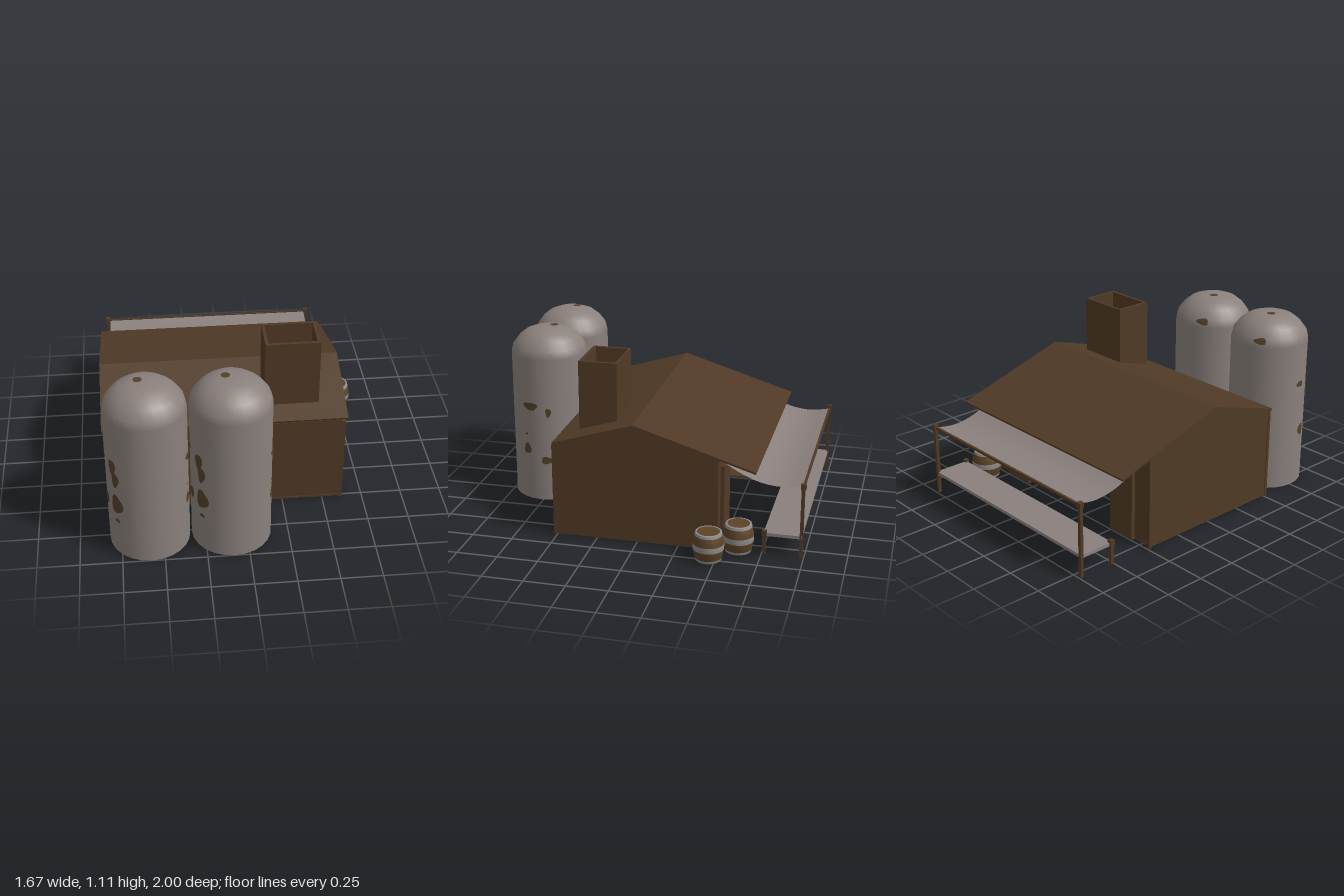
import * as THREE from 'three';

const mat = (name, color) => Object.assign(new THREE.MeshStandardMaterial({ color }), { name });

export function createModel() {
  const root = new THREE.Group();
  root.name = 'brewery';
  const timber = mat('timber brown', 0x503a26);
  const metal = mat('silo grey', 0x8a807c);
  const rust = mat('rust brown', 0x53402a);
  const cloth = mat('cloth grey', 0x8a807e);
  const stave = mat('barrel wood', 0x5c4327);
  const hoop = mat('hoop grey', 0x8f8b8a);
  metal.side = cloth.side = THREE.DoubleSide;

  const add = (parent, name, geo, m) => {
    const mesh = new THREE.Mesh(geo, m);
    mesh.name = name;
    parent.add(mesh);
    return mesh;
  };
  // Box given by its limits on each axis
  const box = (name, x0, x1, y0, y1, z0, z1, m = timber) => {
    const b = add(root, name, new THREE.BoxGeometry(x1 - x0, y1 - y0, z1 - z0), m);
    b.position.set((x0 + x1) / 2, (y0 + y1) / 2, (z0 + z1) / 2);
    return b;
  };
  const poly = pts => new THREE.Shape(pts.map(p => new THREE.Vector2(...p)));
  const rect = (x0, x1, y0, y1) => [[x0, y0], [x1, y0], [x1, y1], [x0, y1]];
  const extrude = (shape, depth) => new THREE.ExtrudeGeometry(shape, { depth, bevelEnabled: false });

  // Gable walls, with the profile running along z
  for (const x of [-0.82, 0.60]) {
    const s = poly([[-0.52, 0.01], [0.48, 0.01], [0.48, 0.59], [-0.02, 0.742], [-0.52, 0.59]]);
    const w = add(root, 'gableWall', extrude(s, 0.02), timber);
    w.rotation.y = Math.PI / 2;
    w.position.x = x;
  }
  box('frontWall', -0.80, 0.60, 0.01, 0.595, 0.50, 0.515);

  // Back wall with a wide doorway and its raised frame
  const doorway = (x0, x1, y1, inner, top) =>
    poly([[x0, 0.01], [-0.10 - inner, 0.01], [-0.10 - inner, top], [-0.10 + inner, top],
      [-0.10 + inner, 0.01], [x1, 0.01], [x1, y1], [x0, y1]]);
  add(root, 'backWall', extrude(doorway(-0.80, 0.60, 0.59, 0.395, 0.40), 0.015), timber).position.z = -0.478;
  add(root, 'doorFrame', extrude(doorway(-0.685, 0.485, 0.49, 0.395, 0.40), 0.025), timber).position.z = -0.502;
  for (const x of [-0.82, 0.61]) for (const z of [-0.485, 0.51])
    box('cornerPost', x - 0.004, x + 0.014, 0.005, 0.59, z - 0.006, z + 0.012);

  // Floor, cut away behind the doorway
  const floor = add(root, 'floor', extrude(poly([[-0.82, -0.52], [0.62, -0.52], [0.62, 0.48], [0.295, 0.48],
    [0.295, -0.18], [-0.495, -0.18], [-0.495, 0.48], [-0.82, 0.48]]), 0.012), timber);
  floor.rotation.x = -Math.PI / 2;
  floor.position.y = 0.01;

  // Roof slopes: slabs hung below a line from (z0, y0) to (z1, y1), z increasing
  const slope = (name, z0, y0, z1, y1, hole) => {
    const dir = new THREE.Vector3(0, y1 - y0, z1 - z0), len = dir.length();
    dir.normalize();
    const s = poly(rect(-0.84, 0.64, 0, len));
    if (hole) {
      const [a, b, c, d] = hole, k = len / (z1 - z0);
      s.holes.push(poly(rect(a, b, (c - z0) * k, (d - z0) * k)));
    }
    const X = new THREE.Vector3(1, 0, 0);
    const g = extrude(s, 0.013);
    g.applyMatrix4(new THREE.Matrix4().makeBasis(X, dir, X.clone().cross(dir)).setPosition(0, y0, z0));
    add(root, name, g, timber);
  };
  slope('frontRoof', 0.022, 0.757, 0.515, 0.607, [0.16, 0.46, 0.165, 0.38]);
  slope('backRoof', -0.715, 0.533, 0.022, 0.76);

  // Hollow chimney
  const flue = poly(rect(0.145, 0.475, -0.39, -0.155));
  flue.holes.push(poly(rect(0.165, 0.455, -0.37, -0.168)));
  const chimney = add(root, 'chimney', extrude(flue, 0.435), timber);
  chimney.rotation.x = -Math.PI / 2;
  chimney.position.y = 0.637;

  // Silos with rust patches: [angle in degrees, y, half width, half height]
  const profile = [[0.24, 0.005], [0.24, 0.95], [0.228, 1.0], [0.19, 1.05], [0.145, 1.085], [0.08, 1.108], [0, 1.108]];
  const radiusAt = y => {
    const i = Math.max(1, profile.findIndex(p => p[1] >= y));
    const [[r0, y0], [r1, y1]] = [profile[i - 1], profile[i]];
    return r0 + (r1 - r0) * (y - y0) / (y1 - y0);
  };
  const patches = [[-55, 0.64, 0.03, 0.055], [-50, 0.56, 0.028, 0.055], [-49, 0.38, 0.045, 0.065], [-49, 0.26, 0.018, 0.013],
    [-84, 0.69, 0.03, 0.02], [-75, 0.37, 0.03, 0.04], [76, 0.64, 0.05, 0.025], [104, 0.605, 0.018, 0.03],
    [100, 0.28, 0.036, 0.025], [69, 0.35, 0.026, 0.036], [68, 0.45, 0.01, 0.008], [-153, 0.99, 0.04, 0.02]];
  for (const x of [-0.58, -0.09]) {
    const silo = new THREE.Group();
    silo.name = 'silo';
    silo.position.set(x, 0, 0.76);
    root.add(silo);
    const pts = profile.map(p => new THREE.Vector2(...p));
    add(silo, 'siloShell', new THREE.LatheGeometry(pts, 24), metal);
    patches.forEach(([deg, cy, w, h], n) => {
      const g = new THREE.CircleGeometry(1, 18), p = g.attributes.position;
      for (let i = 0; i < p.count; i++) {
        const px = p.getX(i), py = p.getY(i);
        const wob = 1 + 0.13 * Math.sin(3 * Math.atan2(py, px) + n);
        const y = cy + py * h * wob, r = radiusAt(y) + 0.004;
        const t = deg * Math.PI / 180 + px * w * wob / 0.24;
        p.setXYZ(i, r * Math.sin(t), y, r * Math.cos(t));
      }
      g.computeVertexNormals();
      add(silo, 'rustPatch', g, rust);
    });
    const topPatch = add(silo, 'topRustPatch', new THREE.CircleGeometry(0.027, 9), rust);
    topPatch.rotation.x = -Math.PI / 2;
    topPatch.position.set(-0.03, 1.112, -0.03);
  }

  // Barrels: three hoops with staves between, and a sunken lid at each end
  const barrel = (x, y, z, r, h) => {
    const b = new THREE.Group();
    b.name = 'barrel';
    b.position.set(x, y, z);
    root.add(b);
    const end = r * 0.8;
    const point = (t, out) => new THREE.Vector2(end + (r - out - end) * Math.sin(Math.PI * t) + out, t * h);
    const cuts = [0, 0.1, 0.4, 0.6, 0.9, 1];
    for (let i = 0; i < 5; i++) {
      const isHoop = i % 2 === 0, out = isHoop ? r * 0.03 : 0, pts = [];
      for (let k = 0; k <= 4; k++) pts.push(point(cuts[i] + (cuts[i + 1] - cuts[i]) * k / 4, out));
      if (i === 0) pts.unshift(new THREE.Vector2(end * 0.9, 0));
      if (i === 4) pts.push(new THREE.Vector2(end * 0.9, h));
      add(b, isHoop ? 'hoop' : 'staves', new THREE.LatheGeometry(pts, 24), isHoop ? hoop : stave);
    }
    const lid = add(b, 'lids', new THREE.CylinderGeometry(end * 0.93, end * 0.93, h * 0.99, 24), stave);
    lid.position.y = h / 2;
  };
  barrel(0.74, 0.01, -0.46, 0.093, 0.175);
  barrel(0.588, 0.01, -0.61, 0.093, 0.175);
  barrel(-0.57, 0.04, 0.33, 0.195, 0.37);
  barrel(-0.53, 0.04, -0.16, 0.195, 0.37);

  // Sagging awning
  const sag = new THREE.CatmullRomCurve3([[0.58, -0.475], [0.505, -0.6], [0.452, -0.73], [0.436, -0.86], [0.455, -0.985]]
    .map(([y, z]) => new THREE.Vector3(0, y, z)));
  const sheet = new THREE.PlaneGeometry(1.36, 1, 1, 16), sp = sheet.attributes.position;
  for (let i = 0; i < sp.count; i++) {
    const c = sag.getPoint(sp.getY(i) + 0.5);
    sp.setXYZ(i, sp.getX(i) - 0.1, c.y, c.z);
  }
  sheet.computeVertexNormals();
  add(root, 'awning', sheet, cloth);

  // Awning posts, rail and the counter below
  for (const x of [-0.795, 0.592]) {
    box('awningPost', x - 0.01, x + 0.01, 0.005, 0.45, -0.992, -0.972);
    box('postCap', x - 0.015, x + 0.015, 0.44, 0.472, -0.998, -0.968);
  }
  for (const x of [-0.802, 0.6]) {
    box('counterLeg', x - 0.01, x + 0.01, 0.01, 0.14, -0.775, -0.755);
    box('legCap', x - 0.014, x + 0.014, 0.125, 0.16, -0.779, -0.751);
  }
  box('awningRail', -0.795, 0.592, 0.445, 0.459, -0.99, -0.976);
  box('counter', -0.803, 0.602, 0.125, 0.145, -0.985, -0.76, cloth);
  return root;
}
